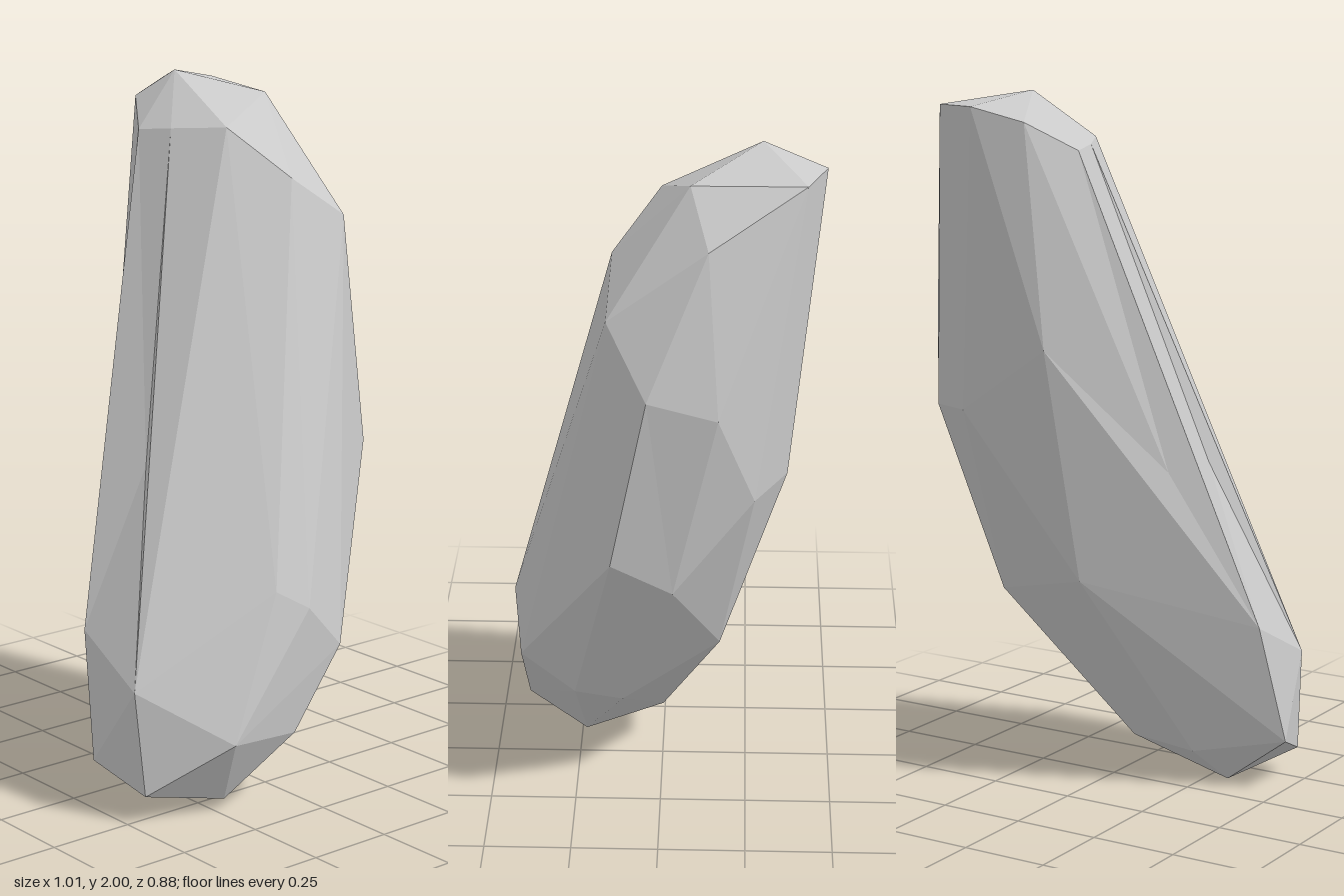
import * as THREE from 'three';
import { ConvexGeometry } from 'three/addons/geometries/ConvexGeometry.js';

// Corner points of the faceted bean, listed from base to tip
const CORNERS = [
  // rounded base
  [-0.31, 0, 0.13], [-0.22, 0.03, 0.33], [-0.46, 0.08, 0.28], [-0.51, 0.15, 0.11],
  [-0.25, 0.1, 0.03], [-0.07, 0.13, 0], [-0.02, 0.07, 0.23], [-0.02, 0.2, 0.4], [-0.27, 0.23, 0.44],
  // lower body
  [-0.48, 0.38, 0.26], [-0.47, 0.5, 0.02], [0.22, 0.33, 0.11], [0.2, 0.34, 0.25], [0.14, 0.43, 0.41],
  [0, 0.57, 0.435], [-0.1, 0.63, 0.41], [0.27, 0.56, -0.17], [-0.03, 0.63, -0.23],
  // middle
  [0.47, 0.83, -0.04], [0.48, 0.92, 0.13], [0.32, 0.96, 0.28], [-0.14, 1.04, 0.21],
  [-0.28, 0.95, 0.06], [-0.26, 0.95, -0.13], [0.43, 1.1, -0.26], [0.28, 1.11, -0.35], [0, 1.3, -0.36],
  // upper body
  [0.5, 1.37, -0.16], [0.5, 1.42, 0.03], [0.38, 1.6, 0.14], [0.19, 1.72, 0.13],
  // tip
  [0.41, 1.81, -0.13], [0.06, 1.86, 0], [-0.02, 1.85, -0.15], [-0.05, 1.84, -0.26],
  [0.04, 1.92, -0.39], [0.18, 1.96, -0.44], [0.32, 1.96, -0.385], [0.27, 1.94, -0.08], [0.09, 2, -0.27],
];

// Sideways bow of the body at a given height
const bow = (y) => 0.15 * (1 - (y - 1) ** 2);
const BOW_X = 0.82, BOW_Z = 0.57;

export function createModel() {
  const group = new THREE.Group();
  group.name = 'bean';

  // Wrap the straightened body in a convex skin, then bend it into its bow
  const straight = CORNERS.map(([x, y, z]) =>
    new THREE.Vector3(x - BOW_X * bow(y), y, z - BOW_Z * bow(y)));
  const geometry = new ConvexGeometry(straight);
  const pos = geometry.attributes.position;
  for (let i = 0; i < pos.count; i++) {
    const b = bow(pos.getY(i));
    pos.setX(i, pos.getX(i) + BOW_X * b);
    pos.setZ(i, pos.getZ(i) + BOW_Z * b);
  }
  geometry.computeVertexNormals();

  const body = new THREE.Mesh(geometry,
    new THREE.MeshStandardMaterial({ color: 0xcccccc, flatShading: true }));
  body.name = 'beanBody';
  group.add(body);
  return group;
}
